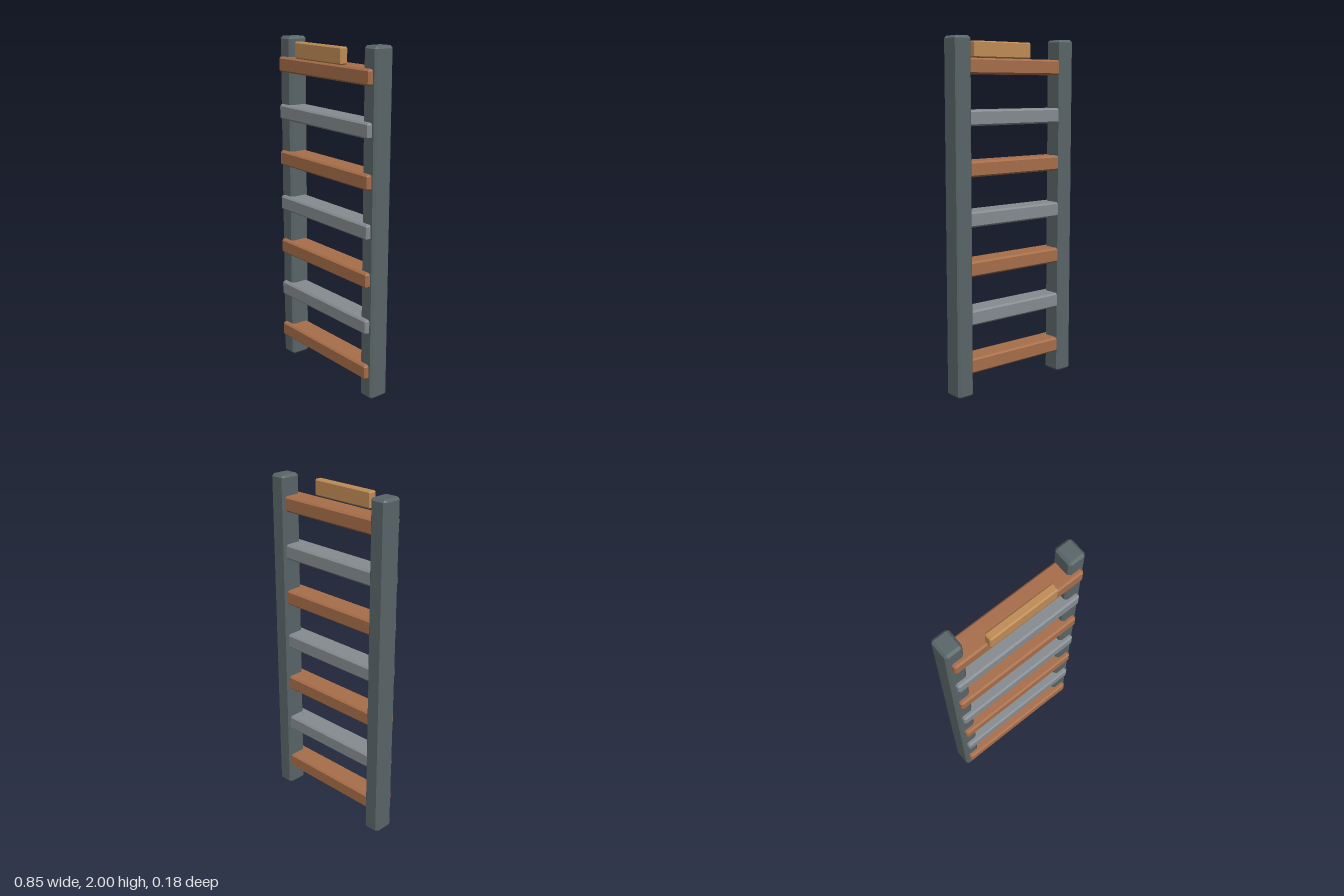
import * as THREE from 'three';
import { ConvexGeometry } from 'three/addons/geometries/ConvexGeometry.js';

const material = (name, color) => {
  const m = new THREE.MeshStandardMaterial({ color });
  m.name = name;
  return m;
};

// Box with every edge chamfered by c: each corner is cut into three points
function chamferBox(w, h, d, c) {
  const points = [];
  for (const sx of [-1, 1]) for (const sy of [-1, 1]) for (const sz of [-1, 1]) {
    const x = w / 2, y = h / 2, z = d / 2;
    points.push(
      new THREE.Vector3(sx * x, sy * (y - c), sz * (z - c)),
      new THREE.Vector3(sx * (x - c), sy * y, sz * (z - c)),
      new THREE.Vector3(sx * (x - c), sy * (y - c), sz * z)
    );
  }
  return new ConvexGeometry(points);
}

export function createModel() {
  const group = new THREE.Group();
  group.name = 'ladder';
  const darkSteel = material('dark steel', 0x5a6668);
  const rust = material('rust brown', 0xa86e4a);
  const grey = material('grey metal', 0x868c91);
  const tan = material('tan wood', 0xc08c56);

  const add = (name, geometry, mat, x, y, z) => {
    const mesh = new THREE.Mesh(geometry, mat);
    mesh.name = name;
    mesh.position.set(x, y, z);
    group.add(mesh);
  };

  // Side rails
  const rail = chamferBox(0.104, 2, 0.123, 0.014);
  add('leftRail', rail, darkSteel, 0.375, 1, -0.0265);
  add('rightRail', rail, darkSteel, -0.375, 1, -0.0265);

  // Rungs in alternating colours
  const rung = chamferBox(0.806, 0.087, 0.136, 0.01);
  for (let i = 0; i < 7; i++) {
    add(`rung${i + 1}`, rung, i % 2 ? grey : rust, 0, 0.17 + i * 0.2785, -0.007);
  }

  // Plate above the top rung
  add('topPlate', chamferBox(0.416, 0.093, 0.048, 0.007), tan, 0, 1.937, 0.064);

  return group;
}
